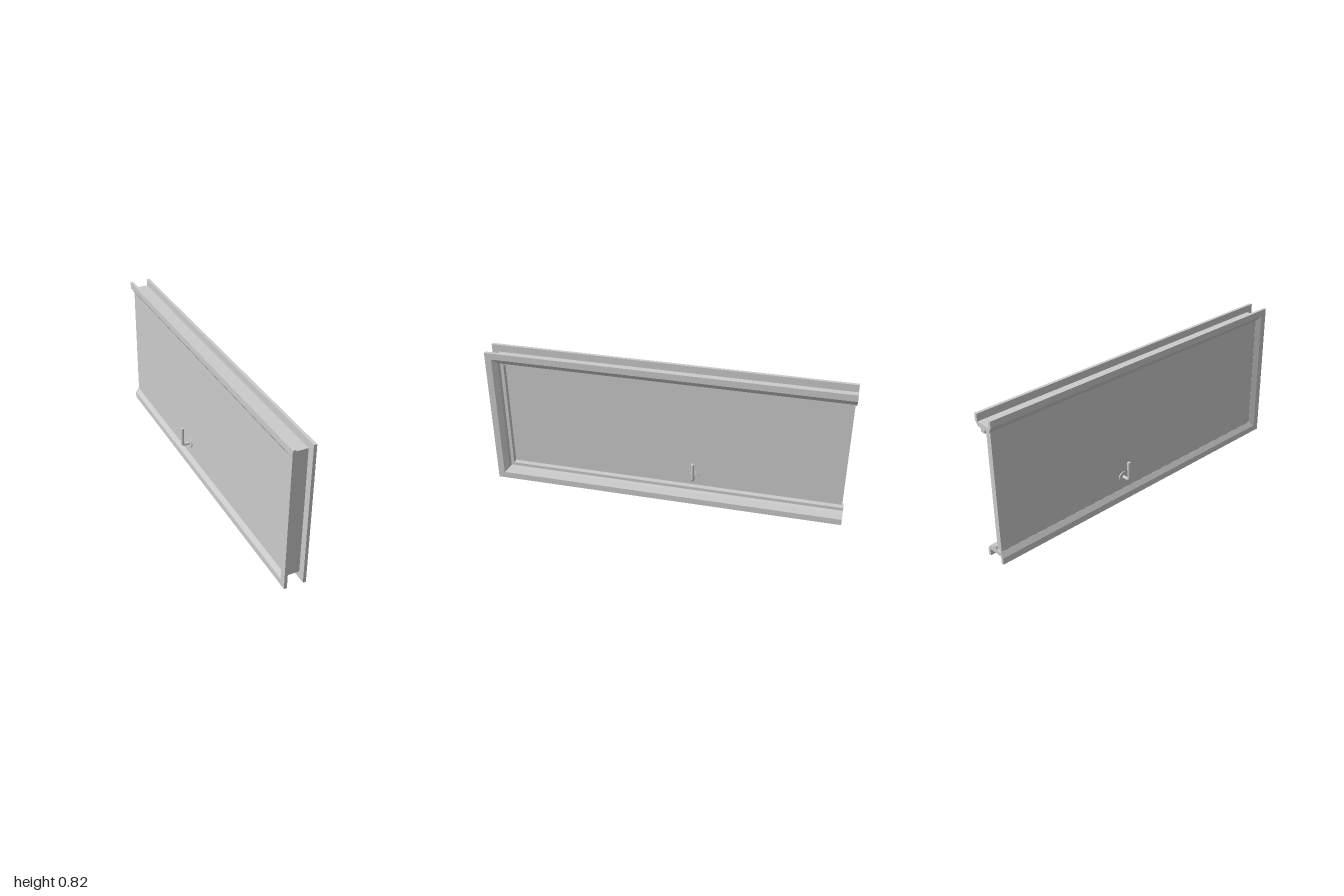
import * as THREE from 'three';

const H = 0.82;               // overall height
const FACE_L = -0.025, FACE_R = 0.008; // panel faces in x
const mat = new THREE.MeshStandardMaterial({ color: 0xcccccc });

// Frame cross-section: [x, distance inward from the outer edge]
const PROFILE = [
  [-0.044, 0], [-0.044, 0.037], [-0.026, 0.065],        // bevelled flange
  [FACE_R, 0.065], [FACE_R, 0.085], [0.037, 0.085],     // panel stop
  [0.037, 0.067], [0.062, 0.065], [0.08, 0.037],        // bevelled flange
  [0.08, 0], [0.063, 0], [0.063, 0.041], [-0.027, 0.041], [-0.027, 0], // outer channel
];

// Sweep the profile round three mitred sides, open at the back end
function frameGeometry() {
  const stations = [
    (d) => [H - d, -1],
    (d) => [H - d, 1 - d],
    (d) => [d, 1 - d],
    (d) => [d, -1],
  ];
  const pos = [];
  const put = (s, i) => {
    const [x, d] = PROFILE[i];
    pos.push(x, ...stations[s](d));
  };
  const n = PROFILE.length;
  for (let s = 0; s < 3; s++) {
    for (let i = 0; i < n; i++) {
      const j = (i + 1) % n;
      put(s, i); put(s, j); put(s + 1, j);
      put(s, i); put(s + 1, j); put(s + 1, i);
    }
  }
  // End caps
  const outline = PROFILE.map(([x, d]) => new THREE.Vector2(x, -d));
  for (const [a, b, c] of THREE.ShapeUtils.triangulateShape(outline, [])) {
    put(0, c); put(0, b); put(0, a);
    put(3, a); put(3, b); put(3, c);
  }
  const g = new THREE.BufferGeometry();
  g.setAttribute('position', new THREE.Float32BufferAttribute(pos, 3));
  g.computeVertexNormals();
  return g;
}

function mesh(name, geometry, parent, x = 0, y = 0, z = 0) {
  const m = new THREE.Mesh(geometry, mat);
  m.name = name;
  m.position.set(x, y, z);
  parent.add(m);
  return m;
}

// L-shaped lever pointing out along -x, then up
function makeHandle(name) {
  const g = new THREE.Group();
  g.name = name;
  const r = 0.009, reach = 0.049, bend = 0.014, top = 0.111;
  mesh('handlePlate', new THREE.CylinderGeometry(0.03, 0.03, 0.006, 32), g, -0.003).rotation.z = Math.PI / 2;
  const stem = reach - bend;
  mesh('handleStem', new THREE.CylinderGeometry(r, r, stem, 20), g, -stem / 2).rotation.z = Math.PI / 2;
  mesh('handleElbow', new THREE.TorusGeometry(bend, r, 16, 10, Math.PI / 2), g, -stem, bend).rotation.z = Math.PI;
  mesh('handleGrip', new THREE.CylinderGeometry(r, r, top - bend, 20), g, -reach, (top + bend) / 2);
  return g;
}

export function createModel() {
  const model = new THREE.Group();
  model.name = 'framedPanel';

  mesh('frame', frameGeometry(), model);

  // Panel slab seated in the frame
  const z0 = -0.992, z1 = 0.936, y0 = 0.064, y1 = H - 0.064;
  mesh('panel', new THREE.BoxGeometry(FACE_R - FACE_L, y1 - y0, z1 - z0), model,
    (FACE_L + FACE_R) / 2, (y0 + y1) / 2, (z0 + z1) / 2);

  // One lever on each face
  const outer = makeHandle('rightHandle');
  outer.position.set(FACE_L, 0.144, -0.16);
  const inner = makeHandle('leftHandle');
  inner.position.set(FACE_R, 0.144, -0.16);
  inner.rotation.y = Math.PI;
  model.add(outer, inner);

  return model;
}
